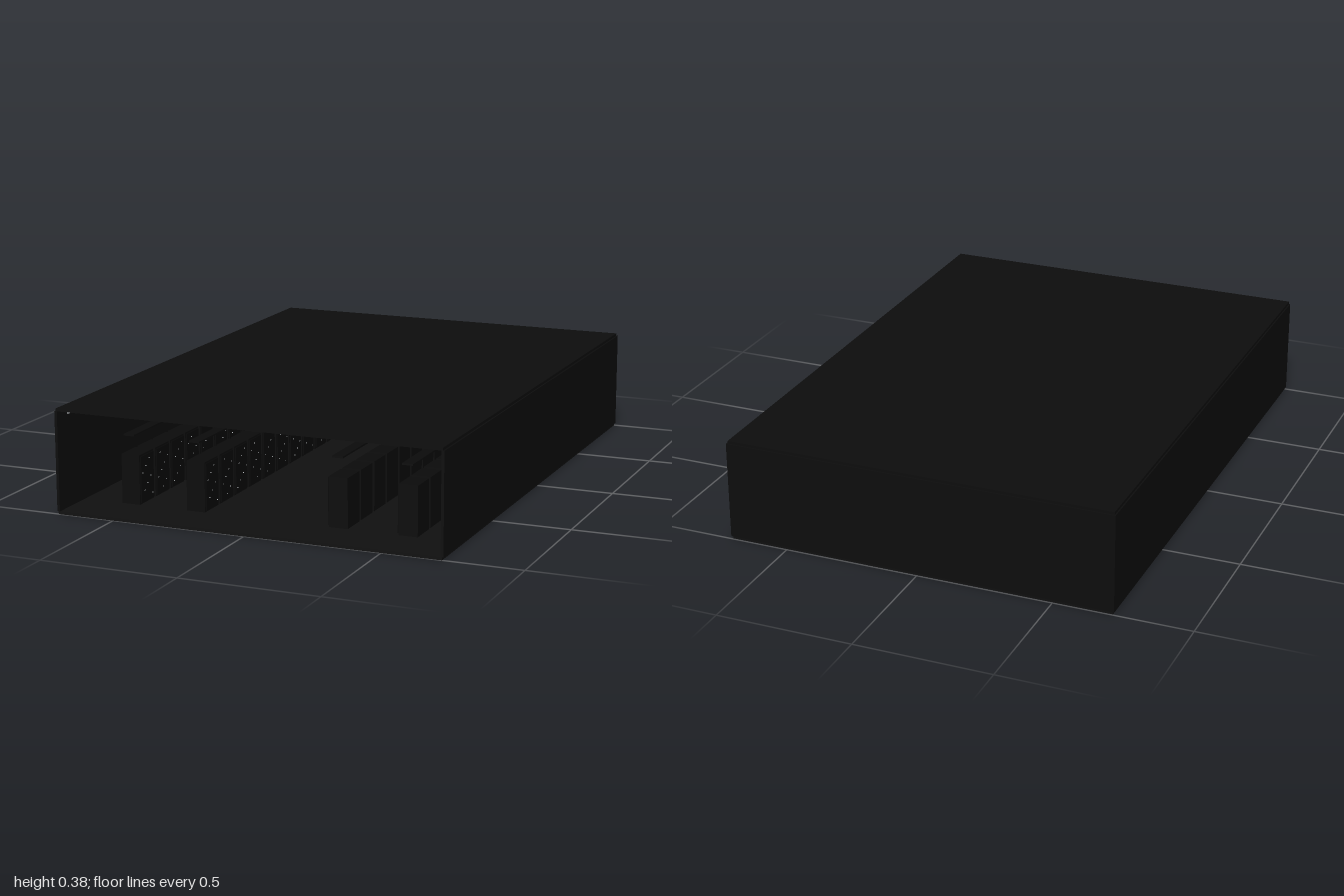
import * as THREE from 'three';

const material = (name, color, side = THREE.FrontSide) => {
  const m = new THREE.MeshStandardMaterial({ color, side });
  m.name = name;
  return m;
};

export function createModel() {
  const shell = material('shell black', 0x0d0d0d);
  const floorMat = material('floor black', 0x101010);
  const rackMat = material('rack black', 0x0b0b0b);
  const doorMat = material('rack door black', 0x070707);
  const screenMat = material('screen pale grey', 0xd8dce4);
  const ledMat = material('indicator white', 0xe8ecf0);

  const model = new THREE.Group();
  model.name = 'serverRoom';

  const box = (parent, name, mat, w, h, d, x, y, z) => {
    const mesh = new THREE.Mesh(new THREE.BoxGeometry(w, h, d), mat);
    mesh.name = name;
    mesh.position.set(x, y, z);
    parent.add(mesh);
    return mesh;
  };

  // Room shell, open at the front
  box(model, 'floor', floorMat, 1.43, 0.01, 1.995, 0, 0.005, 0.0025);
  box(model, 'roof', shell, 1.43, 0.01, 1.995, 0, 0.375, 0.0025);
  box(model, 'backWall', shell, 1.44, 0.36, 0.01, 0, 0.19, -0.995);
  for (const s of [-1, 1]) {
    box(model, 'sideWall', shell, 0.01, 0.36, 1.99, s * 0.715, 0.19, 0.005);
    box(model, 'ceilingLightStrip', ledMat, 0.006, 0.006, 1.9, s * 0.706, 0.35, -0.02);
  }
  box(model, 'ceilingRail', rackMat, 0.01, 0.006, 1.9, 0, 0.367, -0.02);

  // One cabinet: body, door facing the aisle and small indicators
  const cabinet = (row, side, index, z) => {
    const rack = new THREE.Group();
    rack.name = 'serverRack';
    rack.position.set(0, 0.01, z);
    row.add(rack);
    box(rack, 'rackBody', rackMat, 0.07, 0.18, 0.105, 0, 0.09, 0);
    const face = -side * 0.037;
    box(rack, 'rackDoor', doorMat, 0.005, 0.168, 0.094, face, 0.09, 0);
    for (let i = 0; i < 7; i++) {
      const offset = (((i * 5 + index * 3) % 7) - 3) * 0.012;
      box(rack, 'indicator', ledMat, 0.002, 0.003, 0.003, -side * 0.04, 0.025 + i * 0.022, offset);
    }
  };

  // Two rows of cabinets on each side, with cable trays above
  for (const side of [-1, 1]) {
    for (const x of [0.27, 0.525]) {
      const row = new THREE.Group();
      row.name = 'rackRow';
      row.position.x = side * x;
      model.add(row);
      for (let i = 0; i < 12; i++) cabinet(row, side, i, 0.765 - i * 0.12);
      box(row, 'cableTray', rackMat, 0.04, 0.006, 1.45, 0, 0.262, 0.1);
    }
  }

  // Three wall screens in dark frames
  for (const [x, w] of [[-0.2125, 0.155], [0, 0.16], [0.2125, 0.155]]) {
    box(model, 'screenFrame', rackMat, w + 0.02, 0.11, 0.014, x, 0.165, -0.982);
    box(model, 'screen', screenMat, w, 0.09, 0.004, x, 0.165, -0.973);
  }

  // Operator console in front of the screens
  box(model, 'deskTop', rackMat, 0.46, 0.01, 0.12, 0, 0.08, -0.8);
  box(model, 'deskPanel', rackMat, 0.44, 0.065, 0.01, 0, 0.0425, -0.84);
  box(model, 'console', doorMat, 0.26, 0.03, 0.02, 0, 0.1, -0.83);
  for (const s of [-1, 1]) box(model, 'deskLeg', rackMat, 0.01, 0.065, 0.1, s * 0.22, 0.0425, -0.8);

  return model;
}
